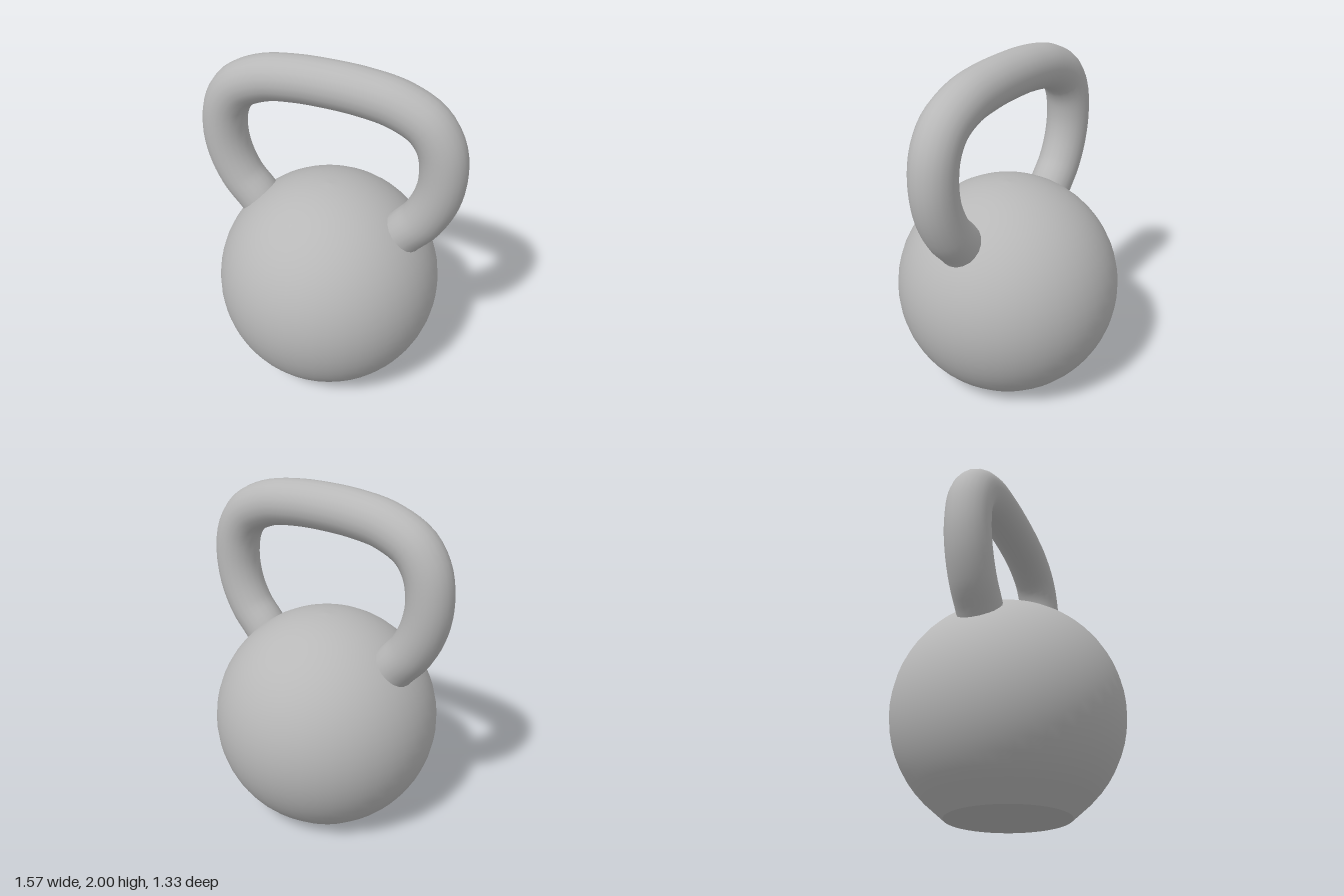
import * as THREE from 'three';

export function createModel() {
  const model = new THREE.Group();
  const iron = new THREE.MeshStandardMaterial({ color: 0xb8b8b8 });
  iron.name = 'grey iron';

  const add = (name, geometry) => {
    const mesh = new THREE.Mesh(geometry, iron);
    mesh.name = name;
    model.add(mesh);
    return mesh;
  };

  // Ball: a sphere profile cut off where it meets the ground
  const radius = 0.667, centreY = 0.578, baseRadius = 0.35;
  const start = Math.asin(baseRadius / radius);
  const profile = [new THREE.Vector2(baseRadius, 0)];
  for (let i = 1; i <= 24; i++) {
    const a = start + (Math.PI - start) * i / 24;
    profile.push(new THREE.Vector2(Math.max(0, radius * Math.sin(a)), centreY - radius * Math.cos(a)));
  }
  add('ball', new THREE.LatheGeometry(profile, 48));

  // Flat foot, with a sharp edge against the ball
  add('base', new THREE.CircleGeometry(baseRadius, 48)).rotation.x = Math.PI / 2;

  // Handle: one half of the centreline, mirrored across x, ends sunk in the ball
  const half = [
    [0.39, 0.95], [0.47, 1.055], [0.56, 1.16], [0.63, 1.31], [0.655, 1.47],
    [0.63, 1.63], [0.55, 1.75], [0.39, 1.83], [0.2, 1.862],
  ];
  const path = [
    ...half.map(([x, y]) => new THREE.Vector3(-x, y, 0)),
    new THREE.Vector3(0, 1.87, 0),
    ...half.map(([x, y]) => new THREE.Vector3(x, y, 0)).reverse(),
  ];
  add('handle', new THREE.TubeGeometry(new THREE.CatmullRomCurve3(path), 72, 0.13, 20, false));

  return model;
}
